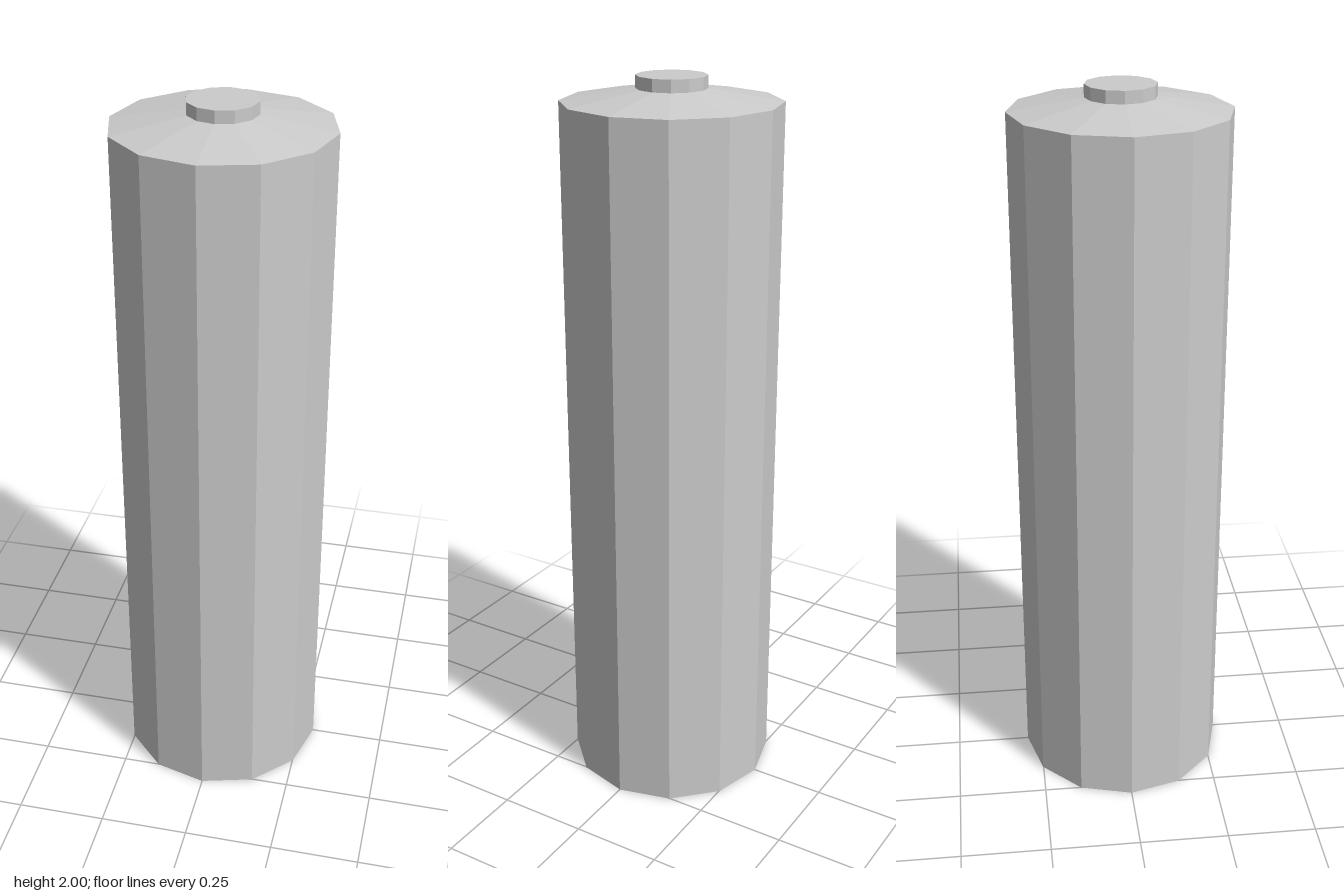
import * as THREE from 'three';

const SIDES = 12;
const BODY_R = 0.29, TERMINAL_R = 0.093;
const SHOULDER_Y = 1.935, TERMINAL_Y = 1.967, TOP_Y = 2;

export function createModel() {
  const group = new THREE.Group();
  const material = new THREE.MeshStandardMaterial({ color: 0xcccccc, flatShading: true });

  const add = (name, geometry) => {
    const mesh = new THREE.Mesh(geometry, material);
    mesh.name = name;
    group.add(mesh);
  };

  // Open twelve-sided band between two heights
  const band = (name, bottomR, topR, y0, y1) =>
    add(name, new THREE.CylinderGeometry(topR, bottomR, y1 - y0, SIDES, 1, true)
      .translate(0, (y0 + y1) / 2, 0));

  // Flat end disc facing up (1) or down (-1)
  const disc = (name, radius, y, facing) =>
    add(name, new THREE.CircleGeometry(radius, SIDES)
      .rotateX(-facing * Math.PI / 2).translate(0, y, 0));

  // Cell body with its flat base
  disc('base', BODY_R, 0, -1);
  band('body', BODY_R, BODY_R, 0, SHOULDER_Y);

  // Shallow sloping shoulder
  band('shoulder', BODY_R, TERMINAL_R, SHOULDER_Y, TERMINAL_Y);

  // Raised contact button
  band('terminalSide', TERMINAL_R, TERMINAL_R, TERMINAL_Y, TOP_Y);
  disc('terminalTop', TERMINAL_R, TOP_Y, 1);

  return group;
}
